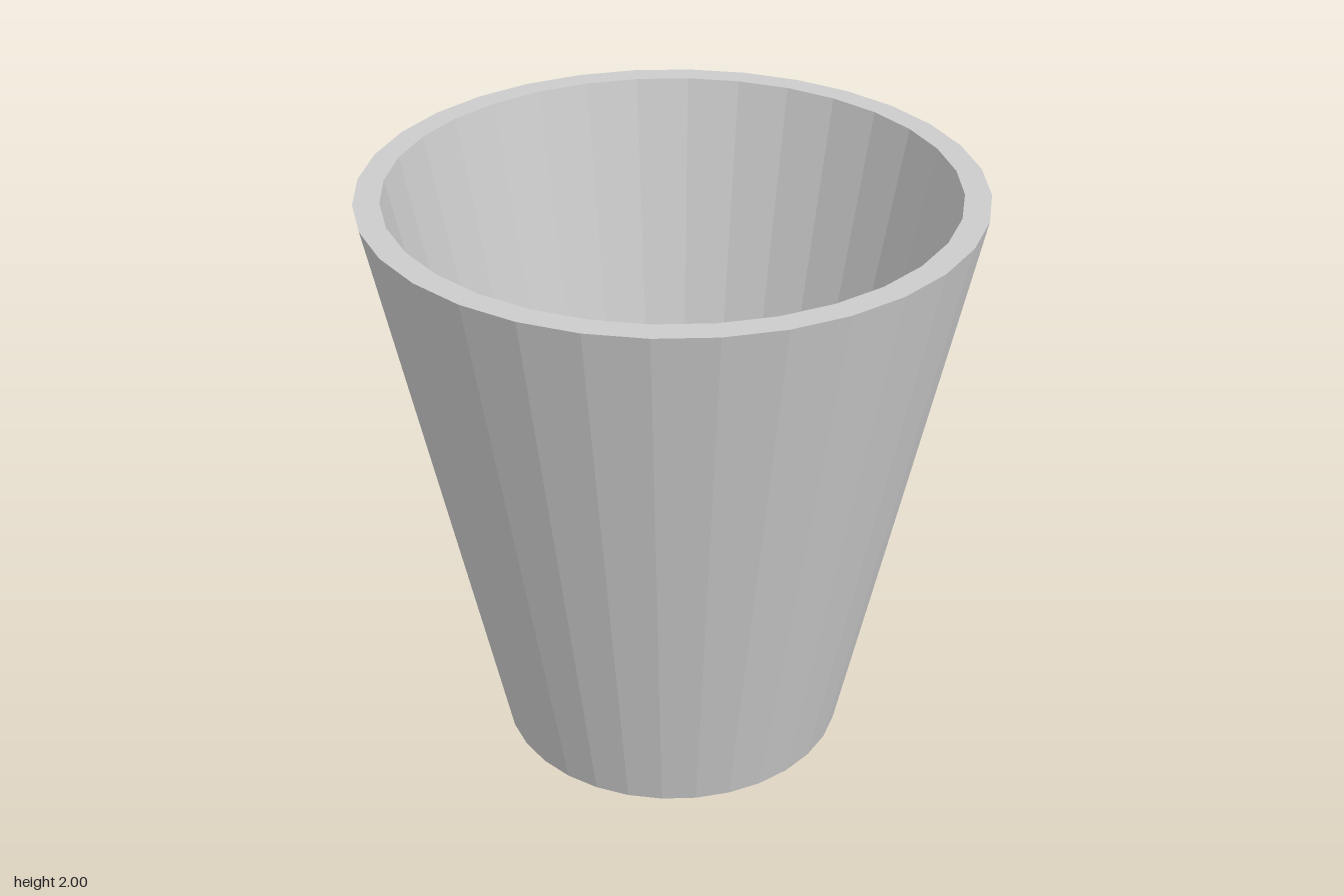
import * as THREE from 'three';

const SIDES = 32;

export function createModel() {
  const group = new THREE.Group();
  group.name = 'cup';
  const material = new THREE.MeshStandardMaterial({ color: 0xcccccc, flatShading: true });

  // Adds one faceted surface of revolution from [radius, height] pairs
  const addPart = (name, profile) => {
    const points = profile.map(([r, y]) => new THREE.Vector2(r, y));
    const mesh = new THREE.Mesh(new THREE.LatheGeometry(points, SIDES), material);
    mesh.name = name;
    group.add(mesh);
  };

  const base = [0.593, 0], lip = [1, 2];          // outer cone
  const floor = [0.545, 0.18], innerLip = [0.916, 2]; // hollow, parallel to the outer wall

  addPart('underside', [[0, 0], base]);
  addPart('outerWall', [base, lip]);
  addPart('rim', [lip, innerLip]);
  addPart('innerWall', [innerLip, floor]);
  addPart('innerFloor', [floor, [0, floor[1]]]);

  return group;
}
